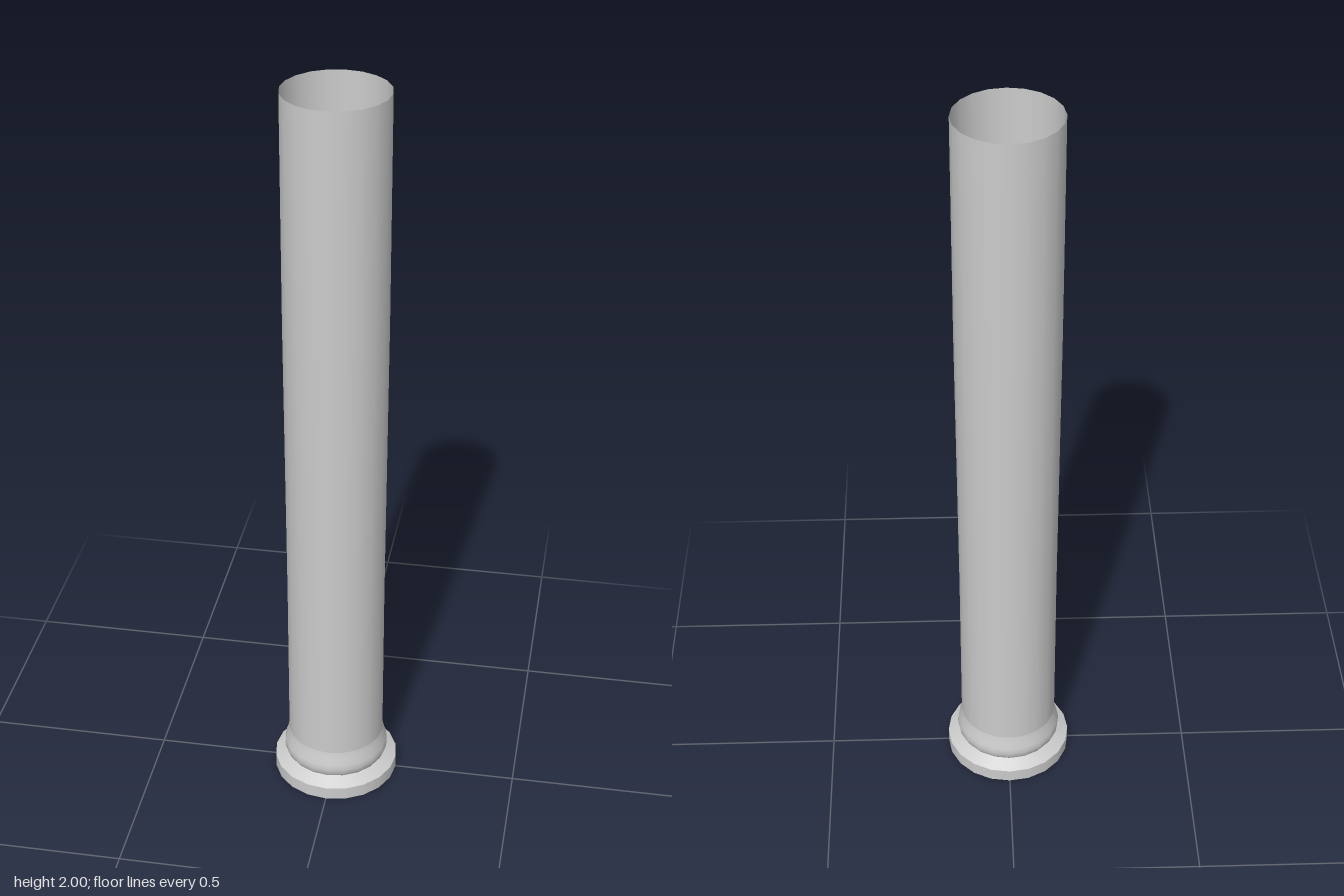
import * as THREE from 'three';

const SIDES = 20;
const material = new THREE.MeshStandardMaterial({ color: 0xcccccc, side: THREE.DoubleSide });

// Revolve one smooth section of the profile, given as [radius, height] pairs
function ring(name, profile) {
  const points = profile.map(([r, y]) => new THREE.Vector2(r, y));
  const mesh = new THREE.Mesh(new THREE.LatheGeometry(points, SIDES), material);
  mesh.name = name;
  return mesh;
}

export function createModel() {
  const column = new THREE.Group();
  column.name = 'column';

  // Separate sections keep the edges between them sharp
  column.add(
    ring('baseRim', [[0.17, 0], [0.17, 0.036]]),
    ring('baseLedge', [[0.17, 0.036], [0.135, 0.054]]),
    // Rounded moulding flowing up into the shaft
    ring('moulding', [[0.135, 0.054], [0.141, 0.064], [0.143, 0.078], [0.141, 0.092], [0.135, 0.11], [0.131, 0.13]]),
    // Hollow, open shaft, slightly wider towards the top
    ring('shaft', [[0.131, 0.13], [0.131, 0.6], [0.133, 1.0], [0.135, 1.4], [0.135, 2]]),
  );
  return column;
}
